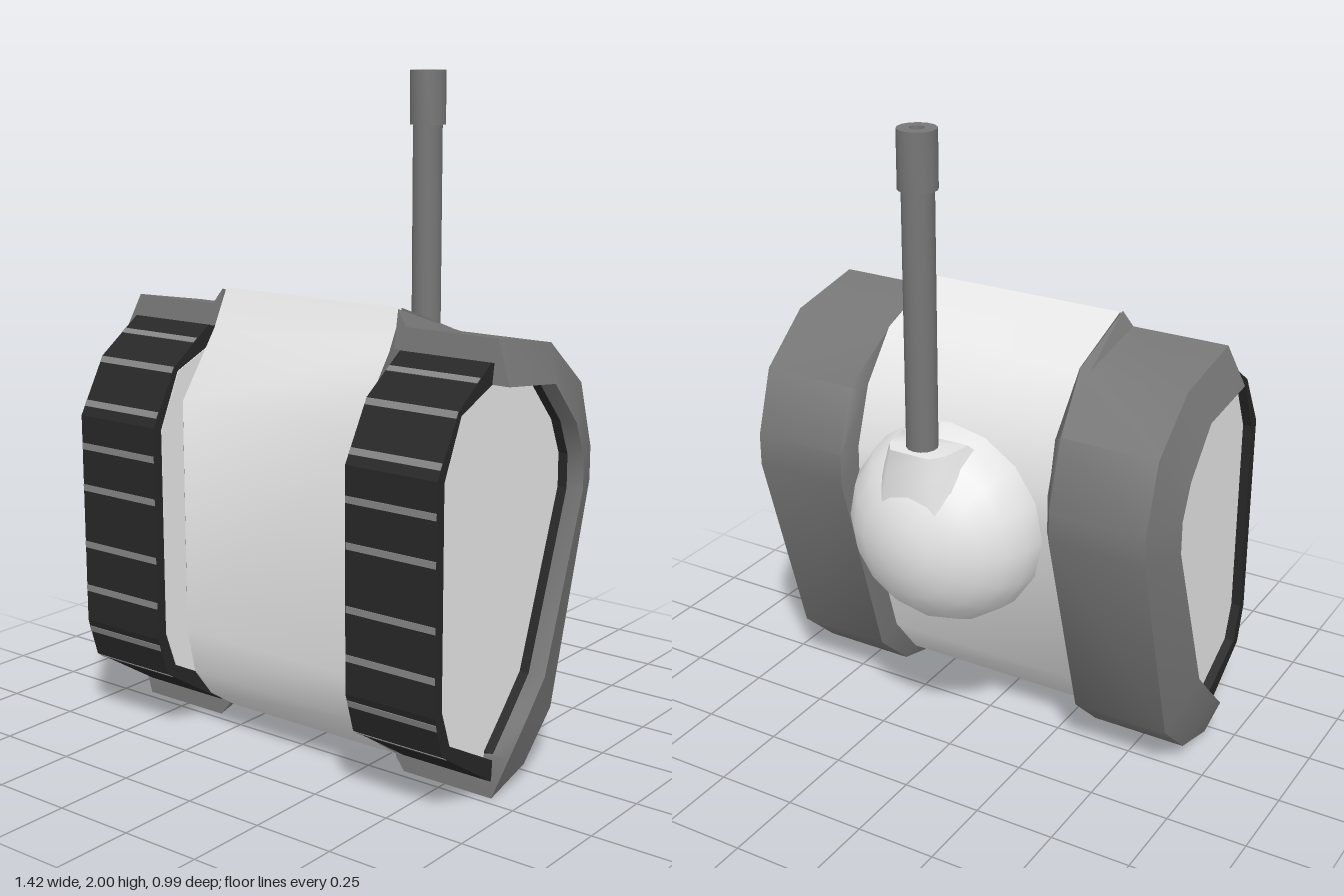
import * as THREE from 'three';
import { toCreasedNormals } from 'three/addons/utils/BufferGeometryUtils.js';

const mat = (name, color) => {
  const m = new THREE.MeshStandardMaterial({ color });
  m.name = name;
  return m;
};

const toVectors = (outline) => outline.map(([z, y]) => new THREE.Vector2(-z, y));

// Extrudes a [z, y] outline along x, from x0 to x1, with an optional hole
function slab(outline, x0, x1, hole) {
  const shape = new THREE.Shape(toVectors(outline));
  // The hole runs the other way round, so that its walls face inwards
  if (hole) shape.holes.push(new THREE.Path(toVectors(hole).reverse()));
  const g = new THREE.ExtrudeGeometry(shape, { depth: x1 - x0, bevelEnabled: false });
  return g.rotateY(Math.PI / 2).translate(x0, 0, 0);
}

// Joins closed rings of [x, y, z] points and caps both ends with a fan
function loft(rings) {
  const n = rings[0].length, last = (rings.length - 1) * n, index = [];
  for (let r = 0; r < rings.length - 1; r++) {
    for (let i = 0; i < n; i++) {
      const a = r * n + i, b = r * n + (i + 1) % n;
      index.push(a, b, b + n, a, b + n, a + n);
    }
  }
  for (let i = 1; i < n - 1; i++) {
    index.push(0, i + 1, i, last, last + i, last + i + 1);
  }
  const g = new THREE.BufferGeometry();
  g.setAttribute('position', new THREE.Float32BufferAttribute(rings.flat(2), 3));
  g.setIndex(index);
  g.computeVertexNormals();
  return g;
}

export function createModel() {
  const model = new THREE.Group();
  const light = mat('light hull', 0xe6e6e6);
  const grey = mat('fender grey', 0x767676);
  const gapGrey = mat('track gap grey', 0x858585);
  const black = mat('track black', 0x272727);

  const add = (parent, name, geometry, material, crease = 0.5) => {
    const mesh = new THREE.Mesh(toCreasedNormals(geometry, crease), material);
    mesh.name = name;
    parent.add(mesh);
    return mesh;
  };

  // Central hull with grey flanks, and a smaller grey core beside it
  const hull = [[0.2, 1.365], [-0.05, 1.275], [-0.17, 1.13], [-0.23, 0.95], [-0.23, 0.83],
    [-0.05, 0.24], [0.06, 0.1], [0.2, 0.04], [0.3, 0.108], [0.37, 0.2], [0.4, 0.34], [0.4, 1.05], [0.257, 1.25]];
  add(model, 'hull', slab(hull, -0.325, 0.325), [grey, light], 0.72);
  const core = hull.map(([z, y]) => [0.05 + (z - 0.05) * 0.92, 0.7 + (y - 0.7) * 0.84]);
  add(model, 'hullCore', slab(core, -0.357, 0.357), grey);

  // Track and fender outlines as [z, y]
  const track = [[0.495, 0.98], [0.4, 1.15], [0.25, 1.255], [0, 1.21], [-0.14, 1.06], [-0.2, 0.93],
    [-0.2, 0.82], [0, 0.28], [0.1, 0.13], [0.22, 0.055], [0.46, 0.21], [0.495, 0.33]];
  const fenderOuter = [[0.225, 1.318], [-0.045, 1.27], [-0.217, 1.13], [-0.28, 0.93],
    [-0.28, 0.83], [-0.09, 0.18], [0.05, 0.05], [0.22, 0.005]];
  const fenderInner = [[0.245, 1.195], [0.01, 1.167], [-0.11, 1.035], [-0.155, 0.93],
    [-0.155, 0.83], [0.03, 0.32], [0.12, 0.225], [0.21, 0.135]];
  // The recess in the track side follows the fender lip, then the front rim
  const recess = [[0.463, 0.97], [0.388, 1.135], ...fenderInner, [0.21, 0.115], [0.425, 0.23], [0.463, 0.34]];

  // Fender cross-section: x, and how far from the outer to the inner outline;
  // its hull-side edge rises to meet the hull
  const hullEdge = [-0.37, -0.03, 0.25, 0.42, 0.42, 0.35, 0.4, 0.3];
  const fenderRings = fenderOuter.map(([z, y], k) =>
    [[0.325, 0.5], [0.325, hullEdge[k]], [0.357, 0], [0.66, 0], [0.711, 1], [0.657, 1], [0.655, 0.46]].map(([x, t]) =>
      [x, y + (fenderInner[k][1] - y) * t, z + (fenderInner[k][0] - z) * t]));

  // Front run of the track, bottom to top, that carries the link gaps
  const run = [track[9], track[10], track[11], track[0], track[1], track[2]];
  const gaps = [0.2, 0.3, 0.435, 0.575, 0.755, 0.885, 1.015, 1.14, 1.215];

  for (const s of [1, -1]) {
    const side = new THREE.Group();
    side.name = s > 0 ? 'leftTrackUnit' : 'rightTrackUnit';
    side.scale.x = s;
    add(side, 'track', slab(track, 0.355, 0.622), black, 0.2);
    add(side, 'trackRim', slab(track, 0.622, 0.656, recess), black, 0.2);
    add(side, 'sidePlate', slab(recess, 0.621, 0.627), light);
    add(side, 'innerPlate', slab(recess, 0.352, 0.356), light);
    add(side, 'fender', loft(fenderRings), grey, 0.8);
    for (const y of gaps) {
      const k = run.findIndex((p, i) => i < run.length - 1 && y >= p[1] && y < run[i + 1][1]);
      const [z0, y0] = run[k], [z1, y1] = run[k + 1];
      const gap = add(side, 'trackGap', new THREE.BoxGeometry(0.298, 0.02, 0.004), gapGrey);
      gap.position.set(0.506, y, z0 + (z1 - z0) * (y - y0) / (y1 - y0));
      gap.rotation.x = Math.atan2(z1 - z0, y1 - y0);
    }
    model.add(side);
  }

  // Domed turret on the back, with its flat base
  const turret = new THREE.Group();
  turret.name = 'turret';
  model.add(turret);
  const dome = new THREE.SphereGeometry(1, 16, 6, 0, Math.PI * 2, 0, Math.PI / 2);
  dome.rotateX(-Math.PI / 2).scale(0.31, 0.31, 0.265).translate(0, 0.793, -0.23);
  add(turret, 'dome', dome, light, 0.8);
  const base = new THREE.CircleGeometry(0.31, 16).translate(0, 0.793, -0.23);
  add(turret, 'domeBase', base, light);

  // Gun mount flaring into the dome: y, front half width, front z, back half width, back z
  const mount = [[0.83, 0.25, -0.24, 0.13, -0.465], [0.94, 0.205, -0.24, 0.115, -0.456],
    [1.02, 0.15, -0.25, 0.1, -0.45], [1.085, 0.11, -0.31, 0.085, -0.445]];
  add(turret, 'gunMount', loft(mount.map(([y, fw, fz, bw, bz]) =>
    [[-fw, y, fz], [fw, y, fz], [bw + 0.008, y, bz + 0.04], [bw * 0.75, y, bz],
      [-bw * 0.75, y, bz], [-bw - 0.008, y, bz + 0.04]])), light, 1);

  // Hollow barrel with a thicker muzzle
  const barrel = [[0.021, 1.05], [0.046, 1.05], [0.046, 1.835], [0.056, 1.835], [0.056, 2], [0.021, 2], [0.021, 1.05]];
  const tube = new THREE.LatheGeometry(barrel.map(([r, y]) => new THREE.Vector2(r, y)), 14);
  add(turret, 'barrel', tube.translate(0, 0, -0.377), grey, 0.6);

  return model;
}
